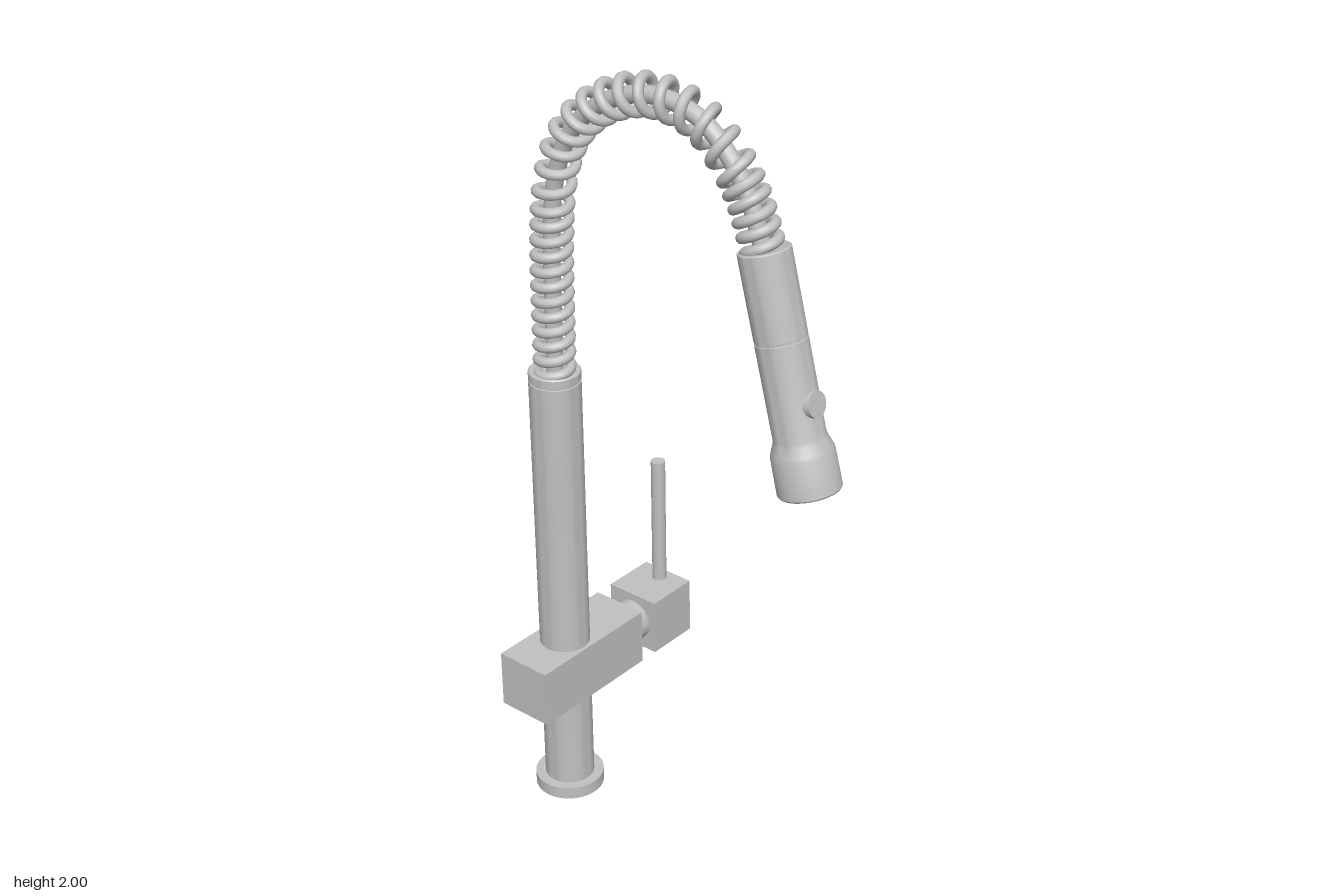
import * as THREE from 'three';
import { toCreasedNormals } from 'three/addons/utils/BufferGeometryUtils.js';

const X = -0.127, Z = -0.368;   // column axis
const SPRING_X = -0.132;

export function createModel() {
  const group = new THREE.Group();
  const steel = new THREE.MeshStandardMaterial({ color: 0xc0c0c0 });
  steel.name = 'brushed steel';

  const add = (name, geometry, x = 0, y = 0, z = 0, parent = group) => {
    const mesh = new THREE.Mesh(geometry, steel);
    mesh.name = name;
    mesh.position.set(x, y, z);
    parent.add(mesh);
    return mesh;
  };
  const lathe = (points) => toCreasedNormals(
    new THREE.LatheGeometry(points.map(([r, y]) => new THREE.Vector2(r, y)), 40), 0.6);

  // Base flange and column, with a fine seam near the top
  add('baseFlange', lathe([[0, 0], [0.088, 0], [0.088, 0.033], [0.06, 0.033]]), X, 0, Z);
  add('column', lathe([[0.063, 0.02], [0.063, 1.172], [0.061, 1.173], [0.061, 1.176],
    [0.063, 1.177], [0.063, 1.197], [0.06, 1.2], [0, 1.2]]), X, 0, Z);

  // Mixer valve: body block, round neck, control block and lever
  add('valveBody', new THREE.BoxGeometry(0.363, 0.15, 0.15), -0.0975, 0.365, -0.37);
  const neck = add('valveNeck', new THREE.CylinderGeometry(0.055, 0.055, 0.07, 32), 0.11, 0.365, Z);
  neck.rotation.z = Math.PI / 2;
  add('controlBlock', new THREE.BoxGeometry(0.143, 0.15, 0.15), 0.2055, 0.365, -0.37);
  add('lever', new THREE.CylinderGeometry(0.0185, 0.0185, 0.36, 24), 0.243, 0.61, -0.37);

  // Arched hose
  const path = new THREE.CatmullRomCurve3([
    [1.18, -0.362], [1.35, -0.36], [1.53, -0.356], [1.685, -0.338], [1.807, -0.288],
    [1.9, -0.188], [1.948, -0.05], [1.929, 0.075], [1.865, 0.156], [1.78, 0.213], [1.67, 0.253],
  ].map(([y, z]) => new THREE.Vector3(SPRING_X, y, z)), false, 'centripetal');
  path.arcLengthDivisions = 600;
  add('hose', new THREE.TubeGeometry(path, 80, 0.02, 16));

  // Spring coil wound round the hose, tighter at both ends
  const stops = [[0, 0], [0.33, 12], [0.87, 25.5], [1, 31]];
  const turnsAt = (u) => {
    const i = stops.findIndex(([s], k) => k > 0 && u <= s);
    const [u0, n0] = stops[i - 1], [u1, n1] = stops[i];
    return n0 + (n1 - n0) * (u - u0) / (u1 - u0);
  };
  class Coil extends THREE.Curve {
    getPoint(t, target = new THREE.Vector3()) {
      const u = Math.min(Math.max(t, 0), 1);
      const side = new THREE.Vector3(1, 0, 0);
      const out = path.getTangentAt(u).cross(side);
      const a = turnsAt(u) * Math.PI * 2;
      return target.copy(path.getPointAt(u))
        .addScaledVector(side, 0.039 * Math.cos(a)).addScaledVector(out, 0.039 * Math.sin(a));
    }
  }
  const coil = new Coil();
  coil.arcLengthDivisions = 2000;
  add('spring', new THREE.TubeGeometry(coil, 900, 0.0125, 10));

  // Spray head: hollow flared nozzle hanging from the hose end
  const head = new THREE.Group();
  head.name = 'sprayHead';
  head.position.set(-0.131, 1.682, 0.251);
  head.rotation.x = -Math.atan2(0.135, 0.534);
  group.add(head);
  add('sprayBody', lathe([[0, -0.525], [0.056, -0.525], [0.06, -0.551], [0.07, -0.551],
    [0.073, -0.547], [0.072, -0.46], [0.069, -0.45], [0.061, -0.43], [0.059, -0.42],
    [0.059, -0.202], [0.057, -0.201], [0.057, -0.197], [0.059, -0.196],
    [0.059, -0.003], [0.056, 0], [0, 0]]), 0, 0, 0, head);
  const button = add('sprayButton', new THREE.CylinderGeometry(0.03, 0.032, 0.03, 28), 0, -0.345, 0.051, head);
  button.rotation.x = Math.PI / 2;

  return group;
}
